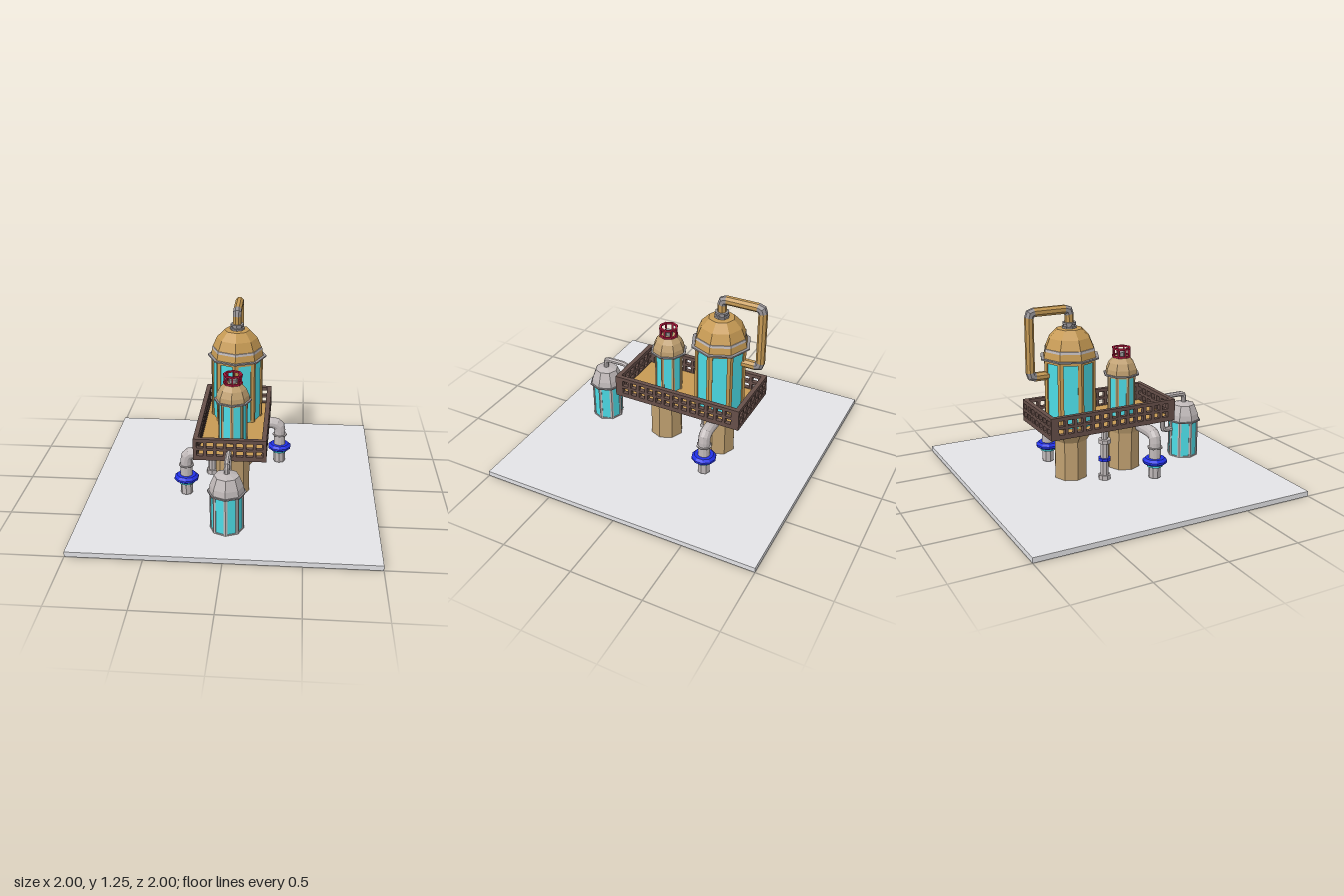
import * as THREE from 'three';

const mat = (name, color) => {
  const m = new THREE.MeshStandardMaterial({ color });
  m.name = name;
  return m;
};

export function createModel() {
  const root = new THREE.Group();
  const slab = mat('concrete', 0xe3e3e6), gold = mat('gold', 0xc69a54), tan = mat('tan', 0xc0a070);
  const glass = mat('turquoise', 0x4cdce6), grey = mat('pipe grey', 0xc0b9b9), dark = mat('flange grey', 0x979396);
  const rail = mat('rail brown', 0x664f49), red = mat('valve red', 0xb81a40), blue = mat('flange blue', 0x2232ee);

  // Faceted normals stored in the geometry
  const flat = (g) => {
    const f = g.index ? g.toNonIndexed() : g;
    f.computeVertexNormals();
    return f;
  };
  const add = (name, geo, m, x = 0, y = 0, z = 0, parent = root) => {
    const mesh = new THREE.Mesh(geo, m);
    mesh.name = name;
    mesh.position.set(x, y, z);
    parent.add(mesh);
    return mesh;
  };
  // Faceted turned part from [radius, height] pairs, bottom to top
  const turned = (name, pts, m, parent, sides = 8) =>
    add(name, flat(new THREE.LatheGeometry(pts.map((p) => new THREE.Vector2(p[0], p[1])), sides)), m, 0, 0, 0, parent);
  const disc = (name, r, y0, y1, m, parent, sides = 8) =>
    turned(name, [[0, y0], [r, y0], [r, y1], [0, y1]], m, parent, sides);
  const groupAt = (name, x, z) => {
    const g = new THREE.Group();
    g.name = name;
    g.position.set(x, 0, z);
    root.add(g);
    return g;
  };
  // Upright plate with rectangular holes; rectangles are [x0, y0, x1, y1]
  const rect = (P, [x0, y0, x1, y1]) => {
    P.moveTo(x0, y0); P.lineTo(x1, y0); P.lineTo(x1, y1); P.lineTo(x0, y1); P.closePath();
    return P;
  };
  const pierced = (outer, holes, depth) => {
    const s = rect(new THREE.Shape(), outer);
    s.holes = holes.map((h) => rect(new THREE.Path(), h));
    return new THREE.ExtrudeGeometry(s, { depth, bevelEnabled: false }).translate(0, 0, -depth / 2);
  };

  // Mitred pipe through [u, y] points; u runs along the horizontal direction U
  function pipe(name, pts, r, U, cut, steps, sides, straight, elbow, parent) {
    const P = pts.map((p) => new THREE.Vector2(p[0], p[1]));
    const path = [P[0]], bends = [];
    for (let i = 1; i < P.length - 1; i++) {
      const a = P[i].clone().add(P[i - 1].clone().sub(P[i]).setLength(cut));
      const b = P[i].clone().add(P[i + 1].clone().sub(P[i]).setLength(cut));
      const c = new THREE.QuadraticBezierCurve(a, P[i], b);
      bends.push(false);
      c.getPoints(steps).forEach((p, k) => { path.push(p); if (k) bends.push(true); });
    }
    path.push(P[P.length - 1]);
    bends.push(false);
    const B = U.clone().cross(new THREE.Vector3(0, 1, 0));
    const rings = path.map((p, i) => {
      const t0 = p.clone().sub(path[Math.max(i - 1, 0)]).normalize();
      const t1 = path[Math.min(i + 1, path.length - 1)].clone().sub(p).normalize();
      const t = t0.clone().add(t1).normalize();
      const stretch = 1 / t.dot(i ? t0 : t1);
      return Array.from({ length: sides }, (_, j) => {
        const a = ((j + 0.5) / sides) * Math.PI * 2, n = Math.cos(a) * r * stretch;
        return U.clone().multiplyScalar(p.x - t.y * n).addScaledVector(B, Math.sin(a) * r)
          .add(new THREE.Vector3(0, p.y + t.x * n, 0));
      });
    });
    const pos = [], g = new THREE.BufferGeometry();
    bends.forEach((bend, i) => {
      g.addGroup(i * sides * 6, sides * 6, bend ? 1 : 0);
      for (let j = 0; j < sides; j++) {
        const k = (j + 1) % sides, [a, b, c, d] = [rings[i][j], rings[i][k], rings[i + 1][j], rings[i + 1][k]];
        for (const v of [a, b, c, b, d, c]) pos.push(v.x, v.y, v.z);
      }
    });
    g.setAttribute('position', new THREE.Float32BufferAttribute(pos, 3));
    return add(name, flat(g), [straight, elbow], 0, 0, 0, parent);
  }

  // Octagonal vessel: recessed glazing behind a framed wall on each side, collar and dome
  function vessel(name, z, r, recess, y0, y1, panelW, panelTop, collarR, m, dome) {
    const g = groupAt(name, 0, z);
    disc('glazing', r - recess, y0 + 0.002, y1, glass, g);
    const half = r * Math.sin(Math.PI / 8), d = r * Math.cos(Math.PI / 8) - recess / 2;
    const frame = pierced([-half, y0, half, y1], [[-panelW / 2, y0 + 0.008, panelW / 2, panelTop]], recess);
    for (let i = 0; i < 8; i++) {
      const a = ((i + 0.5) / 8) * Math.PI * 2;
      add('wallFrame', frame, m, Math.sin(a) * d, 0, Math.cos(a) * d, g).rotation.y = a;
    }
    disc('collar', collarR, y1, y1 + 0.01, dark, g);
    turned('dome', dome, m, g);
    return g;
  }

  // Ground slab
  add('groundSlab', new THREE.BoxGeometry(2, 0.035, 2), slab, 0, 0.0175, 0);

  // Large rear vessel with overhead pipe
  const big = vessel('rearVessel', -0.288, 0.185, 0.01, 0.42, 0.893, 0.095, 0.872, 0.21, gold,
    [[0.189, 0.9], [0.175, 0.965], [0.145, 1.035], [0.09, 1.092], [0, 1.1]]);
  turned('domeBand', [[0.181, 0.948], [0.1805, 0.951], [0.1775, 0.965], [0.174, 0.967]], grey, big);
  disc('lowerNeckFlange', 0.052, 1.09, 1.108, dark, big);
  disc('neck', 0.04, 1.108, 1.12, dark, big);
  disc('upperNeckFlange', 0.048, 1.12, 1.135, dark, big);
  const back = new THREE.Vector3(0, 0, -1);
  pipe('overheadPipe', [[0, 1.1], [0, 1.222], [0.288, 1.222], [0.288, 0.785], [0.15, 0.785]],
    0.031, back, 0.035, 2, 8, gold, dark, big);

  // Middle vessel with red crown valve
  const mid = vessel('middleVessel', 0.11, 0.102, 0.006, 0.42, 0.722, 0.052, 0.705, 0.13, tan,
    [[0.116, 0.73], [0.112, 0.765], [0.092, 0.81], [0.057, 0.85], [0, 0.855]]);
  disc('crownCore', 0.03, 0.85, 0.88, dark, mid);
  for (const y of [0.852, 0.909]) {
    turned('crownRing', [[0.052, y - 0.006], [0.067, y - 0.006], [0.067, y + 0.006], [0.052, y + 0.006],
      [0.052, y - 0.006]], red, mid);
  }
  for (let i = 0; i < 8; i++) {
    const a = (i / 8) * Math.PI * 2;
    add('crownPost', new THREE.BoxGeometry(0.01, 0.056, 0.01), red,
      Math.sin(a) * 0.058, 0.881, Math.cos(a) * 0.058, mid).rotation.y = a;
  }

  // Small ground tank with return pipe
  const tank = vessel('groundTank', 0.634, 0.112, 0.006, 0.035, 0.303, 0.058, 0.297, 0.128, grey,
    [[0.117, 0.313], [0.11, 0.355], [0.082, 0.425], [0.03, 0.44], [0, 0.44]]);
  pipe('returnPipe', [[0, 0.42], [0, 0.503], [0.177, 0.503], [0.177, 0.243], [0.09, 0.243]],
    0.019, back, 0.03, 2, 8, grey, grey, tank);

  // Support columns flaring up to the platform
  for (const [z, flare] of [[0.13, 0.15], [-0.29, 0.185]]) {
    const c = groupAt('supportColumn', 0, z);
    turned('column', [[0.117, 0.03], [0.117, 0.31], [flare, 0.415]], tan, c);
  }

  // Platform floor and lattice railing
  const zc = -0.067, W = 0.49, L = 0.944, T = 0.032;
  add('platformFloor', new THREE.BoxGeometry(W - 0.02, 0.025, L - 0.02), gold, 0, 0.419, zc);
  const lattice = (len, cols) => {
    const holes = [], pitch = (len - 0.025) / cols;
    for (let i = 0; i < cols; i++) {
      const x = (i + 0.5 - cols / 2) * pitch;
      for (const y of [0.438, 0.496]) holes.push([x - 0.022, y, x + 0.022, y + 0.039]);
    }
    return pierced([-len / 2, 0.406, len / 2, 0.56], holes, T);
  };
  for (const s of [-1, 1]) {
    add('endRailing', lattice(W, 7), rail, 0, 0, zc + s * (L - T) / 2);
    add('sideRailing', lattice(L - 2 * T, 13), rail, s * (W - T) / 2, 0, zc).rotation.y = Math.PI / 2;
  }

  // Side outlets elbowing down from the columns to the ground
  for (const [s, z] of [[1, -0.325], [-1, 0.205]]) {
    const g = groupAt('sideOutlet', s * 0.318, z);
    pipe('outletPipe', [[-0.24, 0.355], [0, 0.355], [0, 0.1]], 0.042,
      new THREE.Vector3(s, 0, 0), 0.06, 3, 12, grey, grey, g);
    disc('outletFoot', 0.043, 0.043, 0.13, grey, g);
    disc('pipeLip', 0.054, 0.258, 0.266, grey, g);
    disc('turquoiseSeal', 0.057, 0.125, 0.15, glass, g);
    turned('blueFlange', [[0, 0.143], [0.068, 0.143], [0.086, 0.155], [0.086, 0.17], [0.068, 0.187], [0, 0.187]],
      blue, g, 10);
  }

  // Thin drain pipe below the platform
  const drain = groupAt('drainPipe', -0.168, -0.11);
  disc('drainFoot', 0.043, 0.035, 0.067, grey, drain);
  disc('drainLower', 0.03, 0.06, 0.31, grey, drain);
  disc('drainBlueRing', 0.045, 0.172, 0.193, blue, drain);
  disc('drainFlange', 0.045, 0.3, 0.328, grey, drain);
  disc('drainUpper', 0.022, 0.32, 0.415, grey, drain);

  return root;
}
